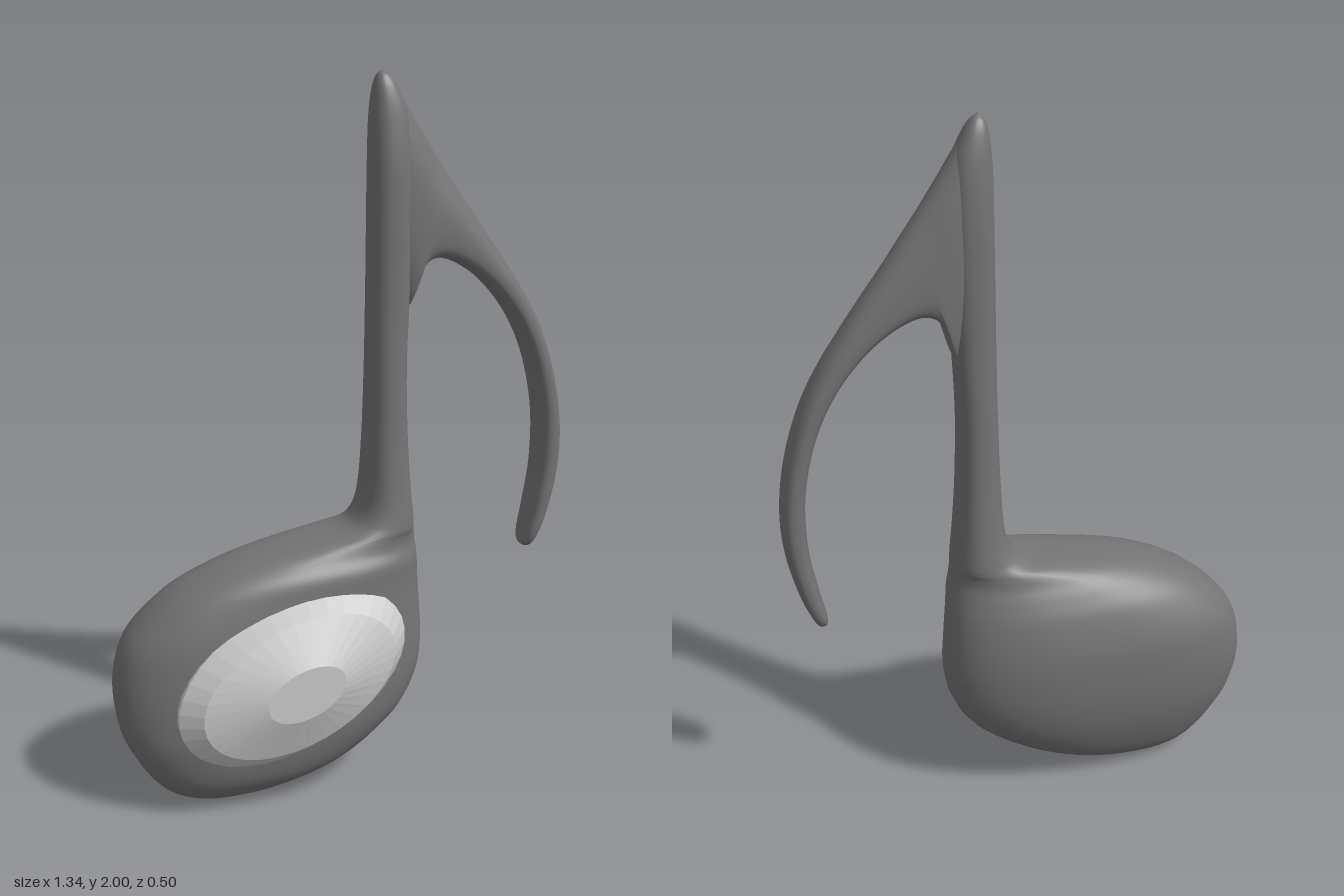
import * as THREE from 'three';

const bodyMat = new THREE.MeshStandardMaterial({ color: 0x747474, side: THREE.DoubleSide });
const discMat = new THREE.MeshStandardMaterial({ color: 0xcccccc, flatShading: true });

// Smooth loft through rounded sections. Each row: [ax, ay, bx, by, zBack, zFront],
// where a and b are the two edges of the section.
function loft(name, rows, power, steps, sides = 40) {
  const edgeA = new THREE.CatmullRomCurve3(rows.map(r => new THREE.Vector3(r[0], r[1], r[4])), false, 'catmullrom', 0.5);
  const edgeB = new THREE.CatmullRomCurve3(rows.map(r => new THREE.Vector3(r[2], r[3], r[5])), false, 'catmullrom', 0.5);
  const round = v => Math.sign(v) * Math.pow(Math.abs(v), 2 / power);
  const pos = [], index = [];
  for (let i = 0; i <= steps; i++) {
    const a = edgeA.getPoint(i / steps), b = edgeB.getPoint(i / steps);
    for (let j = 0; j < sides; j++) {
      const t = (j / sides) * Math.PI * 2;
      const k = (1 + round(Math.cos(t))) / 2, m = (1 + round(Math.sin(t))) / 2;
      pos.push(a.x + (b.x - a.x) * k, a.y + (b.y - a.y) * k, a.z + (b.z - a.z) * m);
      if (i < steps) {
        const n = (j + 1) % sides, p = i * sides + j, q = i * sides + n;
        index.push(p, p + sides, q, q, p + sides, q + sides);
      }
    }
  }
  const geo = new THREE.BufferGeometry();
  geo.setAttribute('position', new THREE.Float32BufferAttribute(pos, 3));
  geo.setIndex(index);
  geo.computeVertexNormals();
  const mesh = new THREE.Mesh(geo, bodyMat);
  mesh.name = name;
  return mesh;
}

// Level sections: height, left edge, right edge, back, front
const level = rows => rows.map(([y, x0, x1, z0, z1]) => [x0, y, x1, y, z0, z1]);

export function createModel() {
  const group = new THREE.Group();
  group.name = 'musicalNote';

  // Note head flowing up into the stem
  group.add(loft('headAndStem', level([
    [0, -0.38, -0.36, -0.04, -0.02],
    [0.01, -0.47, -0.25, -0.1, 0.05],
    [0.04, -0.54, -0.12, -0.145, 0.1],
    [0.1, -0.595, 0.02, -0.185, 0.145],
    [0.2, -0.65, 0.155, -0.222, 0.165],
    [0.3, -0.67, 0.217, -0.242, 0.165],
    [0.4, -0.665, 0.235, -0.248, 0.158],
    [0.5, -0.63, 0.231, -0.242, 0.148],
    [0.6, -0.53, 0.222, -0.215, 0.135],
    [0.66, -0.42, 0.216, -0.185, 0.125],
    [0.7, -0.3, 0.21, -0.16, 0.1],
    [0.73, -0.14, 0.206, -0.147, 0.087],
    [0.75, -0.02, 0.203, -0.141, 0.082],
    [0.78, 0.03, 0.2, -0.135, 0.076],
    [0.85, 0.055, 0.193, -0.125, 0.066],
    [1.0, 0.065, 0.183, -0.11, 0.053],
    [1.2, 0.07, 0.178, -0.1, 0.045],
    [1.4, 0.072, 0.185, -0.095, 0.04],
    [1.6, 0.073, 0.19, -0.093, 0.04],
    [1.76, 0.074, 0.19, -0.09, 0.037],
    [1.88, 0.076, 0.18, -0.08, 0.025],
    [1.95, 0.083, 0.152, -0.066, 0.011],
    [1.985, 0.093, 0.13, -0.05, -0.006],
    [2.0, 0.108, 0.112, -0.031, -0.027],
  ]), 2.4, 138));

  // Flag: outer edge, inner edge, back, front
  group.add(loft('flag', [
    [0.13, 1.975, 0.1, 1.93, -0.055, 0.0],
    [0.165, 1.925, 0.11, 1.75, -0.072, 0.018],
    [0.21, 1.855, 0.13, 1.52, -0.085, 0.03],
    [0.26, 1.78, 0.178, 1.37, -0.09, 0.033],
    [0.31, 1.708, 0.2, 1.445, -0.09, 0.033],
    [0.36, 1.637, 0.23, 1.488, -0.09, 0.032],
    [0.42, 1.555, 0.275, 1.5, -0.09, 0.031],
    [0.48, 1.47, 0.345, 1.473, -0.09, 0.03],
    [0.54, 1.378, 0.42, 1.417, -0.09, 0.03],
    [0.595, 1.27, 0.5, 1.318, -0.09, 0.03],
    [0.64, 1.13, 0.56, 1.19, -0.09, 0.03],
    [0.663, 0.98, 0.595, 1.03, -0.09, 0.03],
    [0.658, 0.85, 0.597, 0.87, -0.089, 0.029],
    [0.632, 0.73, 0.578, 0.74, -0.086, 0.026],
    [0.607, 0.66, 0.562, 0.66, -0.078, 0.018],
    [0.59, 0.625, 0.56, 0.627, -0.06, 0.0],
    [0.576, 0.614, 0.572, 0.614, -0.032, -0.028],
  ], 2.5, 96, 32));

  // Faceted oval boss on the front of the head
  const profile = [[0.001, 0.247], [0.33, 0.247], [0.83, 0.195], [1, 0.135], [0.98, 0.06]]
    .map(([r, h]) => new THREE.Vector2(r, h)).reverse();
  const discGeo = new THREE.LatheGeometry(profile, 36);
  discGeo.rotateX(Math.PI / 2);
  discGeo.scale(0.348, 0.214, 1);
  discGeo.rotateZ(THREE.MathUtils.degToRad(21));
  // Lean the rim to follow the head, keeping the flat face upright
  const p = discGeo.attributes.position;
  for (let i = 0; i < p.count; i++) {
    const lean = Math.min(1, Math.max(0, (0.247 - p.getZ(i)) / 0.11));
    p.setZ(i, p.getZ(i) - lean * (0.09 * p.getY(i) + 0.02 * p.getX(i)));
  }
  const disc = new THREE.Mesh(discGeo, discMat);
  disc.name = 'frontDisc';
  disc.position.set(-0.203, 0.391, 0);
  group.add(disc);

  return group;
}
